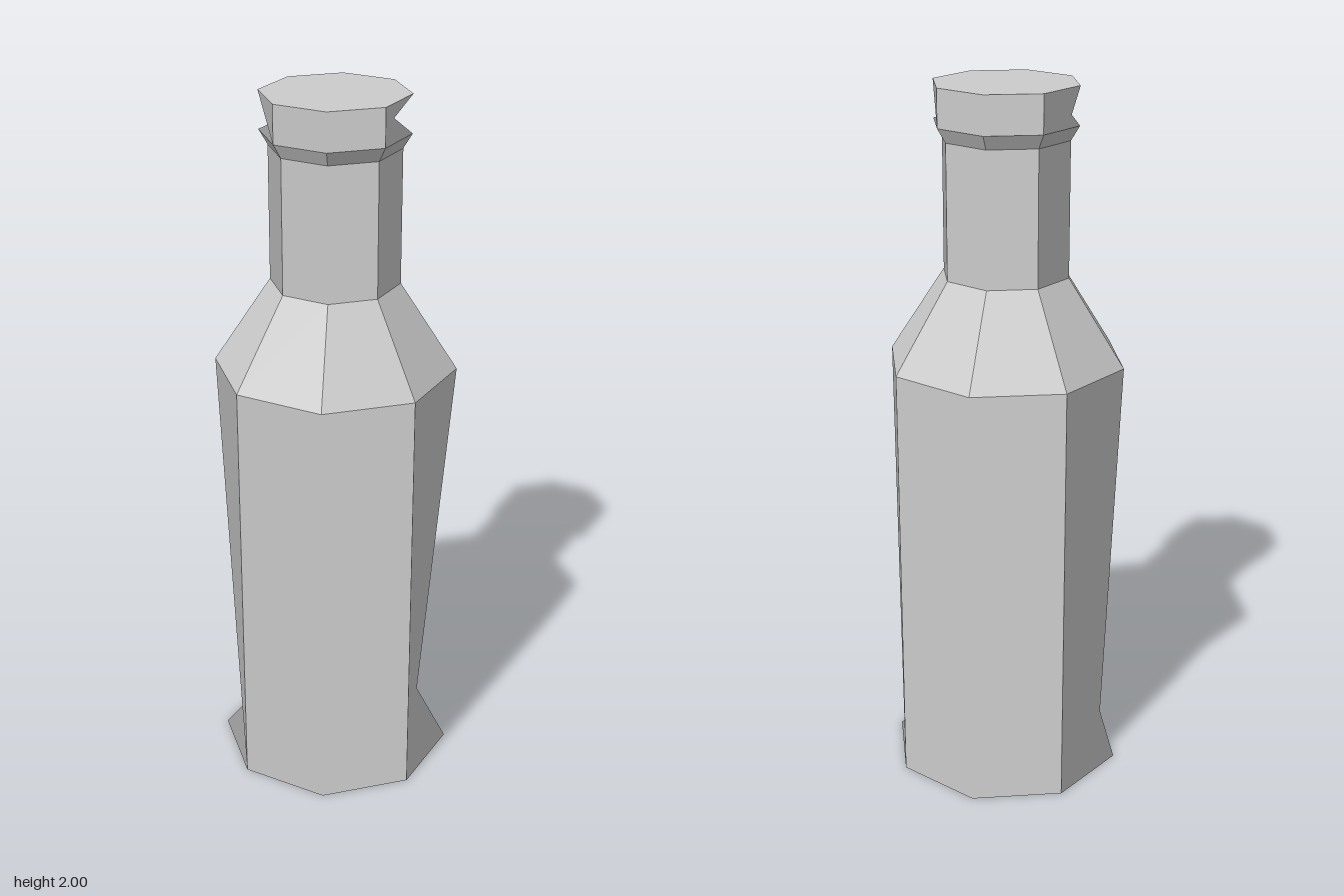
import * as THREE from 'three';

const BODY_R = 0.338, NECK_R = 0.179, CAP_R = 0.203;
const Y = { shoulder: 1.235, neck: 1.48, lip: 1.855, cap: 1.895, top: 2 };

// Octagonal wall made of four six-cornered panels, each shaded as one flat face.
// 'start' is the panel corner its triangles fan out from.
function panelWall(r, y0, y1, start) {
  const pos = [], nor = [];
  for (let k = 0; k < 4; k++) {
    const a0 = k * Math.PI / 2, mid = a0 + Math.PI / 4, a1 = a0 + Math.PI / 2;
    // lower right, upper right, upper middle, upper left, lower left, lower middle
    const ring = [[a0, y0], [a0, y1], [mid, y1], [a1, y1], [a1, y0], [mid, y0]]
      .map(([a, y]) => [r * Math.cos(a), y, r * Math.sin(a)]);
    for (let i = 1; i < 5; i++) {
      for (const j of [0, i, i + 1]) {
        pos.push(...ring[(start + j) % 6]);
        nor.push(Math.cos(mid), 0, Math.sin(mid));
      }
    }
  }
  const g = new THREE.BufferGeometry();
  g.setAttribute('position', new THREE.Float32BufferAttribute(pos, 3));
  g.setAttribute('normal', new THREE.Float32BufferAttribute(nor, 3));
  return g;
}

// Flat-faced octagonal cone section
function taper(r0, r1, y0, y1) {
  const g = new THREE.CylinderGeometry(r1, r0, y1 - y0, 8, 1, true).toNonIndexed();
  g.translate(0, (y0 + y1) / 2, 0);
  g.computeVertexNormals();
  return g;
}

// Octagonal end face, facing up (dir 1) or down (dir -1)
function disc(r, y, dir) {
  return new THREE.CircleGeometry(r, 8).rotateX(-dir * Math.PI / 2).translate(0, y, 0);
}

export function createModel() {
  const group = new THREE.Group();
  group.name = 'bottle';
  const grey = new THREE.MeshStandardMaterial({ color: 0xcccccc });
  grey.name = 'light grey';

  const add = (name, geometry) => {
    const mesh = new THREE.Mesh(geometry, grey);
    mesh.name = name;
    group.add(mesh);
  };

  // Body and cap panels are pinched; the neck is a plain octagon
  add('base', disc(BODY_R, 0, -1));
  add('body', panelWall(BODY_R, 0, Y.shoulder, 0));
  add('shoulder', taper(BODY_R, NECK_R, Y.shoulder, Y.neck));
  add('neck', panelWall(NECK_R, Y.neck, Y.lip, 5));
  add('lip', taper(NECK_R, CAP_R, Y.lip, Y.cap));
  add('cap', panelWall(CAP_R, Y.cap, Y.top, 0));
  add('capTop', disc(CAP_R, Y.top, 1));
  return group;
}
